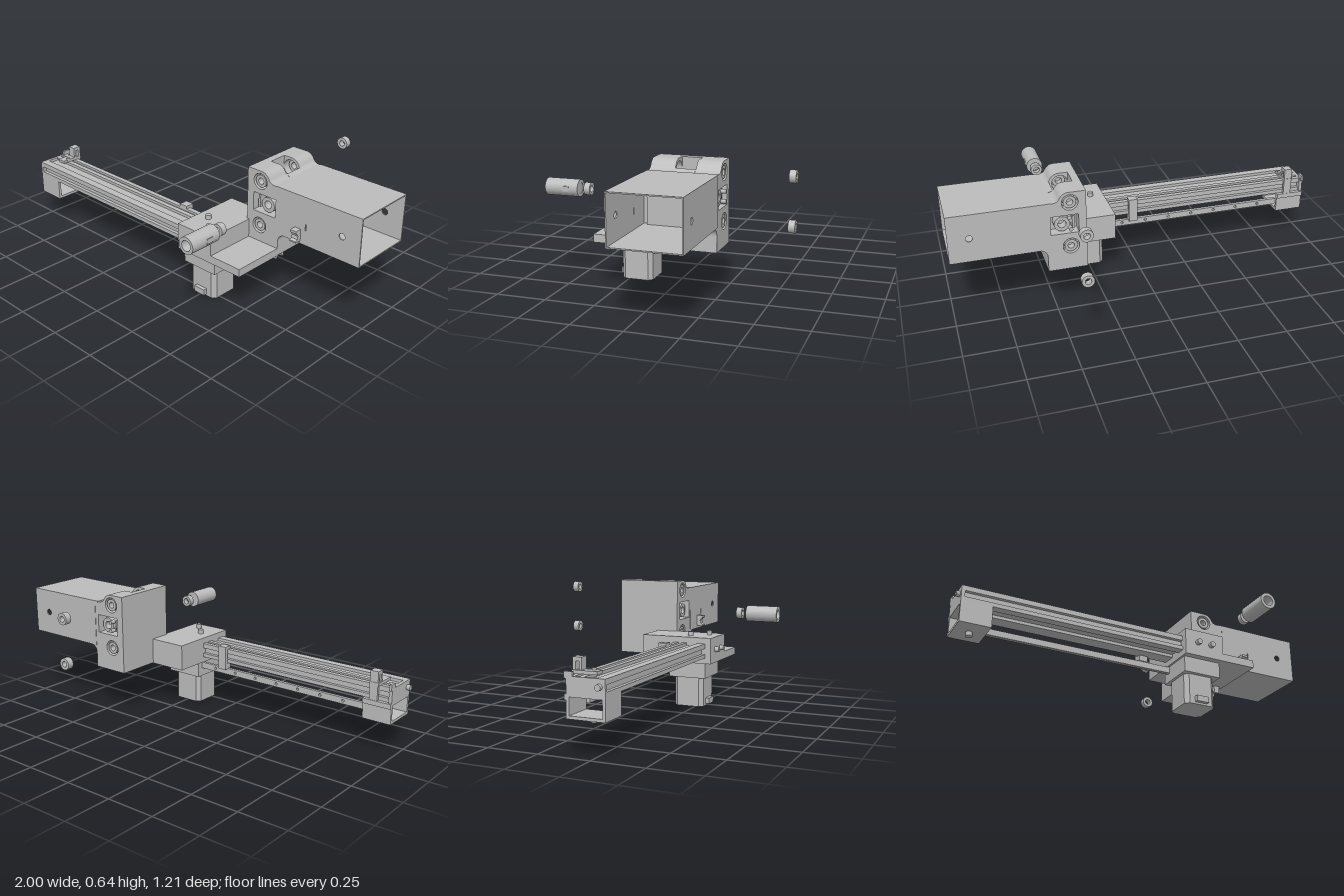
import * as THREE from 'three';

export function createModel() {
  const model = new THREE.Group();
  const gray = new THREE.MeshStandardMaterial({ color: 0xbcbcbc, side: THREE.DoubleSide });
  gray.name = 'machined gray';

  const add = (name, geo) => {
    const m = new THREE.Mesh(geo, gray);
    m.name = name;
    model.add(m);
    return m;
  };
  // box from its limits on each axis
  const box = (name, x0, x1, y0, y1, z0, z1) => {
    const g = new THREE.BoxGeometry(x1 - x0, y1 - y0, z1 - z0);
    g.translate((x0 + x1) / 2, (y0 + y1) / 2, (z0 + z1) / 2);
    return add(name, g);
  };
  const poly = pts => new THREE.Shape(pts.map(p => new THREE.Vector2(...p)));
  const rect = (x0, x1, y0, y1) => poly([[x0, y0], [x1, y0], [x1, y1], [x0, y1]]);
  const circle = (x, y, r) => {
    const s = new THREE.Shape();
    s.absarc(x, y, r, 0, Math.PI * 2, false);
    return s;
  };
  const extrude = (shape, depth) =>
    new THREE.ExtrudeGeometry(shape, { depth, bevelEnabled: false, curveSegments: 20 });
  // extrude an xy shape between two z positions
  const alongZ = (name, shape, z0, z1, holes = []) => {
    shape.holes.push(...holes);
    return add(name, extrude(shape, z1 - z0).translate(0, 0, z0));
  };
  // extrude a (-z, y) shape between two x positions
  const alongX = (name, shape, x0, x1, holes = []) => {
    shape.holes.push(...holes);
    return add(name, extrude(shape, x1 - x0).rotateY(Math.PI / 2).translate(x0, 0, 0));
  };
  const ring = (name, x, y, r, bore, z0, z1) =>
    alongZ(name, circle(x, y, r), z0, z1, [circle(x, y, bore)]);
  // solid pin along a chosen axis
  const pin = (name, r, len, axis, x, y, z) => {
    const g = new THREE.CylinderGeometry(r, r, len, 20);
    if (axis === 'x') g.rotateZ(Math.PI / 2);
    if (axis === 'z') g.rotateX(Math.PI / 2);
    return add(name, g.translate(x, y, z));
  };

  // Motor with bevelled corners, standing on the ground
  const c = 0.02;
  const motor = poly([[0.17 + c, -0.29], [0.335 - c, -0.29], [0.335, -0.29 + c], [0.335, -0.13 - c],
    [0.335 - c, -0.13], [0.17 + c, -0.13], [0.17, -0.13 - c], [0.17, -0.29 + c]]);
  add('motor', extrude(motor, 0.155).rotateX(-Math.PI / 2));
  box('motorConnector', 0.22, 0.285, 0.01, 0.04, 0.28, 0.31);
  box('motorMount', 0.155, 0.355, 0.155, 0.235, 0.11, 0.31);

  // Drive housing, ledge and screws
  box('driveHousing', 0.145, 0.36, 0.235, 0.37, -0.04, 0.343);
  box('ledgePlate', 0.36, 0.54, 0.235, 0.275, 0.07, 0.343);
  for (const [x, z] of [[0.215, 0.205], [0.29, 0.282]]) {
    pin('topScrew', 0.014, 0.03, 'y', x, 0.377, z);
    pin('frontScrew', 0.014, 0.03, 'z', x, 0.305, 0.35);
  }

  // Clamp, layered front to back around the open vertical slot
  const clampProfile = () => {
    const s = new THREE.Shape();
    s.moveTo(0.347, 0.237);
    s.lineTo(0.54, 0.237);
    s.lineTo(0.54, 0.315);
    s.absarc(0.58, 0.315, 0.04, Math.PI, Math.PI / 2, true);
    s.lineTo(0.58, 0.595);
    s.lineTo(0.505, 0.595);
    s.quadraticCurveTo(0.485, 0.597, 0.476, 0.613);
    s.quadraticCurveTo(0.46, 0.643, 0.43, 0.643);
    s.lineTo(0.347, 0.643);
    return s;
  };
  const screwY = [0.36, 0.59];
  for (const [name, z0, z1, face] of [['clampFront', -0.05, 0.072, 1], ['clampBack', -0.268, -0.15, -1]]) {
    alongZ(name, clampProfile(), z0, z1,
      [rect(0.385, 0.52, 0.43, 0.525), ...screwY.map(y => circle(0.425, y, 0.04))]);
    const outer = face > 0 ? z1 : z0;
    const span = (a, b) => [outer - face * a, outer - face * b].sort((p, q) => p - q);
    for (const y of screwY) {
      ring('clampScrew', 0.425, y, 0.031, 0.016, ...span(0.004, 0.09));
      pin('screwSeat', 0.04, 0.02, 'z', 0.425, y, outer - face * 0.05);
    }
    // recessed window with central bolt
    box('windowBacking', 0.385, 0.52, 0.43, 0.525, ...span(0.06, 0.08));
    box('windowRib', 0.4, 0.412, 0.445, 0.51, ...span(0.02, 0.07));
    ring('centerBolt', 0.463, 0.475, 0.038, 0.02, ...span(0.015, 0.07));
  }
  box('clampOuterWall', 0.347, 0.385, 0.237, 0.643, -0.15, -0.05);
  const core = poly([[0.48, 0.237], [0.54, 0.237], [0.54, 0.315], [0.552, 0.343], [0.58, 0.355],
    [0.58, 0.595], [0.505, 0.595], [0.48, 0.605]]);
  alongZ('clampCore', core, -0.15, -0.05);
  for (const y of [0.453, 0.5]) pin('rearNub', 0.01, 0.03, 'z', 0.425, y, -0.263);

  // Hollow arm, open at its far end
  const t = 0.006;
  const wallHoles = () => [circle(0.9, 0.475, 0.016)];
  alongZ('armFrontWall', rect(0.54, 1, 0.355, 0.597), 0.073 - t, 0.073,
    [...wallHoles(), rect(0.698, 0.704, 0.43, 0.462)]);
  alongZ('armBackWall', rect(0.54, 1, 0.355, 0.597), -0.27, -0.27 + t, wallHoles());
  box('armTop', 0.52, 1, 0.597 - t, 0.597, -0.269, 0.072);
  box('armBottom', 0.58, 1, 0.355, 0.355 + t, -0.269, 0.072);
  box('armInsert', 0.57, 0.6, 0.36, 0.592, -0.23, 0.045);

  // Small saddle clips with a round cut-out
  const sideClip = poly([[-0.075, 0.37], [-0.075, 0.43], [-0.11, 0.43], [-0.11, 0.418],
    [-0.098, 0.41], [-0.094, 0.4], [-0.098, 0.385], [-0.11, 0.377], [-0.11, 0.37]]);
  alongX('armClip', sideClip, 0.64, 0.675);
  const lowClip = new THREE.Shape();
  lowClip.moveTo(-0.052, 0.237);
  lowClip.lineTo(-0.052, 0.2);
  lowClip.lineTo(-0.045, 0.2);
  lowClip.absarc(-0.023, 0.197, 0.02, Math.PI, 0, true);
  lowClip.lineTo(0.006, 0.2);
  lowClip.lineTo(0.006, 0.237);
  alongX('underClip', lowClip, 0.488, 0.518);

  // Grooved linear rail
  const rail = poly([
    [-0.312, 0.265], [-0.27, 0.265], [-0.27, 0.28], [-0.21, 0.28], [-0.21, 0.265], [-0.14, 0.265],
    [-0.14, 0.285], [-0.158, 0.285], [-0.158, 0.315], [-0.14, 0.315], [-0.14, 0.34],
    [-0.165, 0.34], [-0.165, 0.328], [-0.185, 0.328], [-0.185, 0.34],
    [-0.21, 0.34], [-0.21, 0.325], [-0.27, 0.325], [-0.27, 0.34],
    [-0.312, 0.34], [-0.312, 0.315], [-0.294, 0.315], [-0.294, 0.285], [-0.312, 0.285]]);
  alongX('rail', rail, -0.965, 0.147);

  // Lower strip with a row of holes
  const holes = [];
  for (let i = 0; i < 7; i++) holes.push(circle(-0.72 + i * 0.13, 0.217, 0.007));
  alongZ('lowerStrip', rect(-0.83, 0.165, 0.2, 0.233), 0.14, 0.15, holes);
  box('lowerStripCore', -0.83, 0.165, 0.201, 0.232, 0.15, 0.16);

  // End bracket: open tube section, end plate and fasteners
  alongX('endBracket', rect(-0.312, -0.13, 0.16, 0.265), -0.982, -0.833,
    [rect(-0.298, -0.144, 0.174, 0.253)]);
  box('endPlate', -0.982, -0.965, 0.255, 0.34, 0.13, 0.312);
  box('endPlateTab', -0.982, -0.97, 0.33, 0.36, 0.12, 0.16);
  box('bracketFlange', -0.982, -0.833, 0.24, 0.265, 0.12, 0.14);
  pin('bracketScrew', 0.016, 0.03, 'y', -0.907, 0.155, 0.22);
  pin('endKnob', 0.014, 0.03, 'x', -0.985, 0.305, 0.285);

  // Sensor clips straddling the back edge of the rail
  box('endSensorArm', -0.915, -0.868, 0.34, 0.355, 0.12, 0.24);
  box('endSensorBack', -0.91, -0.868, 0.265, 0.41, 0.122, 0.136);
  box('endSensorFront', -0.91, -0.868, 0.34, 0.395, 0.152, 0.165);
  box('endSensorCap', -0.91, -0.868, 0.393, 0.41, 0.122, 0.165);
  pin('endSensorScrew', 0.01, 0.02, 'y', -0.873, 0.355, 0.205);
  box('midSensorBack', -0.02, 0.026, 0.23, 0.355, 0.12, 0.138);
  box('midSensorTop', -0.02, 0.026, 0.34, 0.355, 0.12, 0.165);
  box('midSensorFoot', -0.02, 0.026, 0.233, 0.262, 0.12, 0.165);

  // Detached hardware: plunger with side window, washer and two rear bushings
  ring('plungerBarrel', 0.463, 0.475, 0.042, 0.026, 0.438, 0.607);
  pin('plungerCore', 0.026, 0.1, 'z', 0.463, 0.475, 0.49);
  box('plungerWindow', 0.48, 0.507, 0.463, 0.488, 0.483, 0.517);
  ring('washer', 0.463, 0.475, 0.03, 0.016, 0.38, 0.41);
  for (const y of screwY) ring('rearBushing', 0.425, y, 0.03, 0.015, -0.605, -0.573);

  return model;
}
